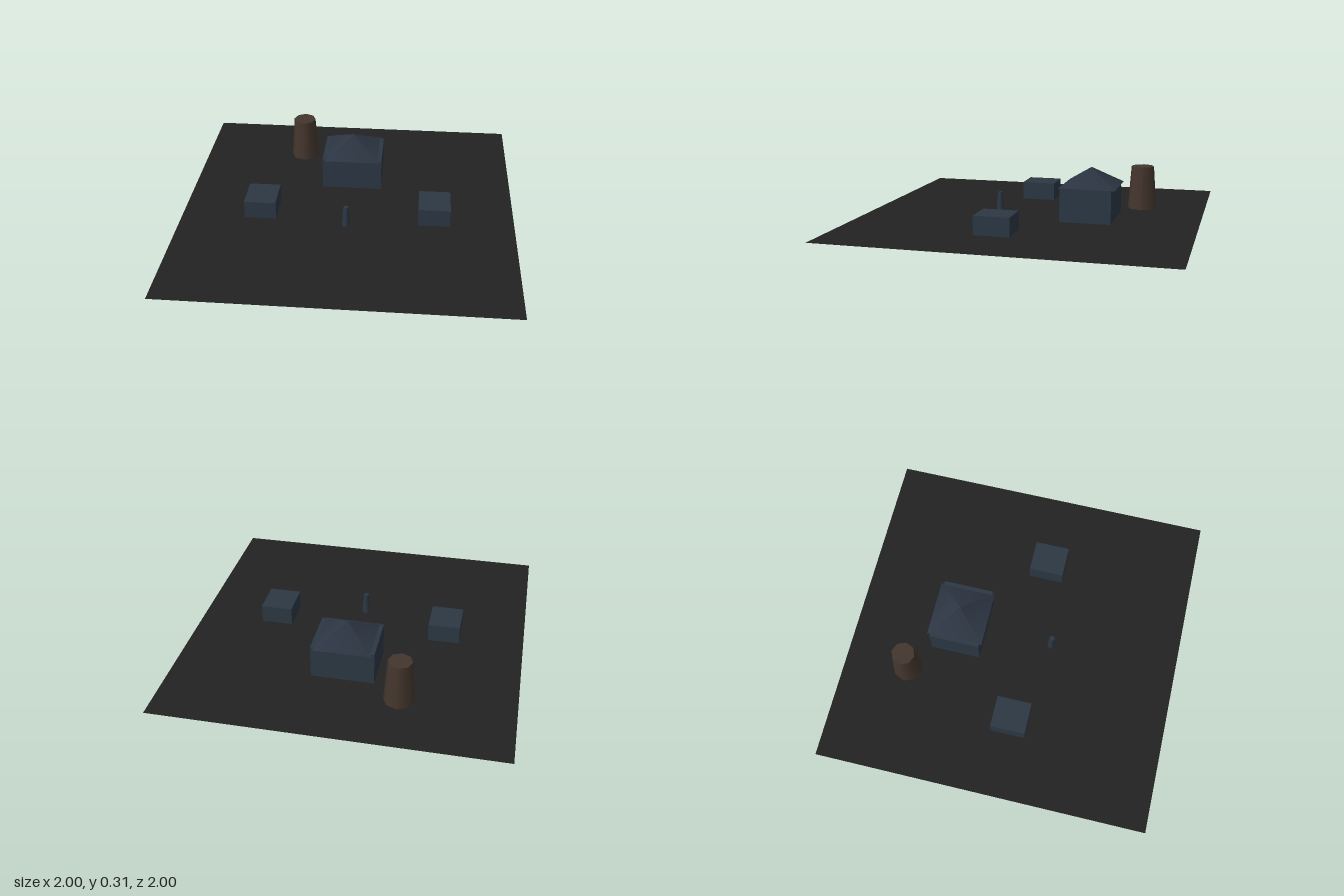
import * as THREE from 'three';

const material = (name, color) => {
  const m = new THREE.MeshStandardMaterial({ color });
  m.name = name;
  return m;
};

export function createModel() {
  const model = new THREE.Group();
  model.name = 'settlement';

  const groundDark = material('ground charcoal', 0x222222);
  groundDark.side = THREE.DoubleSide;
  const wallBlue = material('wall slate blue', 0x2c3844);
  const roofBlue = material('roof slate', 0x2c3542);
  const brick = material('chimney brown', 0x44362d);

  const add = (name, geometry, mat, x, y, z) => {
    const mesh = new THREE.Mesh(geometry, mat);
    mesh.name = name;
    mesh.position.set(x, y, z);
    model.add(mesh);
    return mesh;
  };

  // Flat square of ground
  add('ground', new THREE.PlaneGeometry(2, 2).rotateX(-Math.PI / 2), groundDark, 0, 0, 0);

  // Main hall with a pyramid roof
  add('hallWalls', new THREE.BoxGeometry(0.37, 0.2, 0.305), wallBlue, 0, 0.1, -0.348);
  const roof = new THREE.ConeGeometry(0.238, 0.11, 4).rotateY(Math.PI / 4);
  add('hallRoof', roof, roofBlue, 0, 0.25, -0.35);

  // Low sheds on either side
  for (const side of [-1, 1]) {
    add(side > 0 ? 'leftShed' : 'rightShed',
      new THREE.BoxGeometry(0.19, 0.11, 0.21), wallBlue, side * 0.522, 0.055, 0.087);
  }

  // Tapered chimney tower behind the hall
  add('chimneyTower', new THREE.CylinderGeometry(0.07, 0.09, 0.265, 8), brick, -0.347, 0.1325, -0.61);

  // Small standing post in the yard
  add('yardPost', new THREE.CylinderGeometry(0.016, 0.025, 0.125, 8), wallBlue, 0, 0.0625, 0.22);

  return model;
}
